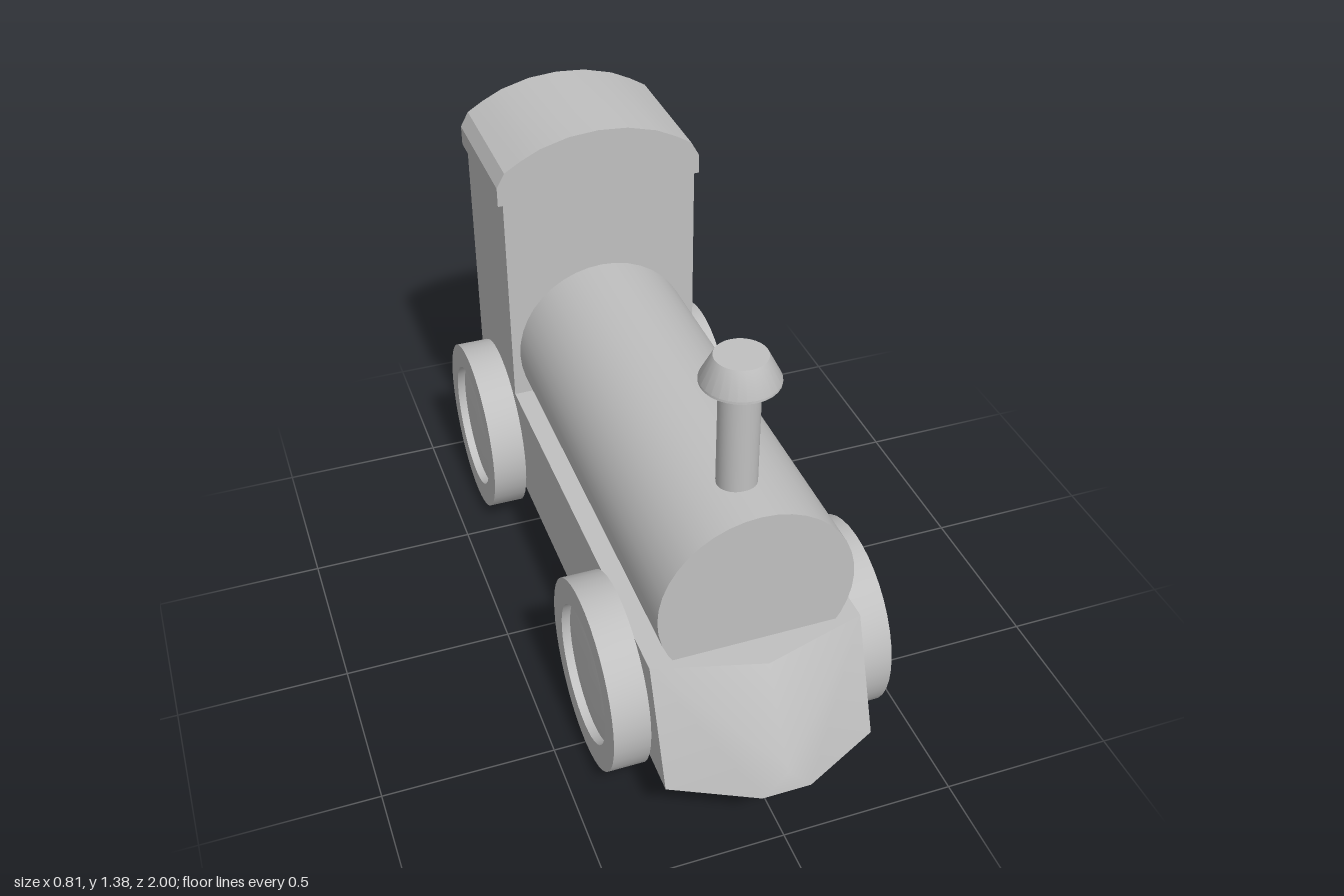
import * as THREE from 'three';
import { toCreasedNormals } from 'three/addons/utils/BufferGeometryUtils.js';

const grey = new THREE.MeshStandardMaterial({ color: 0xc0c0c0 });
grey.name = 'plain grey';

function add(group, name, geometry, x = 0, y = 0, z = 0) {
  const mesh = new THREE.Mesh(geometry, grey);
  mesh.name = name;
  mesh.position.set(x, y, z);
  group.add(mesh);
  return mesh;
}

// Turned part from [radius, height] pairs, bottom to top
function turned(profile, segments) {
  const points = profile.map(([r, h]) => new THREE.Vector2(r, h));
  return toCreasedNormals(new THREE.LatheGeometry(points, segments), 0.5);
}

// Wedge-shaped nose with a pointed plan and a sloping face
function noseGeometry() {
  const corners = {
    A: [-0.3, 0.51, 0.76], B: [0, 0.51, 0.845], C: [0.3, 0.51, 0.76],
    D: [0, 0.26, 1], E: [-0.07, 0.18, 1], F: [0.07, 0.18, 1],
    G: [-0.3, 0.18, 0.885], H: [0.3, 0.18, 0.885],
    I: [-0.3, 0.18, 0.76], J: [0.3, 0.18, 0.76],
  };
  const faces = [
    'AGE', 'AED', 'ADB', 'DEF', 'BDC', 'DFC', 'FHC', // sloping front
    'ABC', 'CHJ', 'AIG',                             // top and sides
    'IJH', 'IHF', 'IFE', 'IEG',                      // underside
  ];
  const positions = faces.flatMap((f) => [...f].flatMap((k) => corners[k]));
  const geometry = new THREE.BufferGeometry();
  geometry.setAttribute('position', new THREE.Float32BufferAttribute(positions, 3));
  return toCreasedNormals(geometry, 0.8);
}

// Arched roof extruded along z
function roofGeometry(depth) {
  const half = [[0.315, 1.19], [0.315, 1.25], [0.29, 1.295], [0.24, 1.325],
    [0.18, 1.354], [0.09, 1.378]];
  const mirrored = half.map(([x, y]) => [-x, y]).reverse();
  const outline = [...half, [0, 1.385], ...mirrored];
  const shape = new THREE.Shape(outline.map(([x, y]) => new THREE.Vector2(x, y)));
  const geometry = new THREE.ExtrudeGeometry(shape, { depth, bevelEnabled: false });
  return toCreasedNormals(geometry, 0.45);
}

export function createModel() {
  const model = new THREE.Group();
  model.name = 'toyTrain';

  // Body
  add(model, 'chassis', new THREE.BoxGeometry(0.6, 0.33, 1.715), 0, 0.345, -0.0975);
  add(model, 'nose', noseGeometry());
  add(model, 'cab', new THREE.BoxGeometry(0.6, 0.7, 0.425), 0, 0.85, -0.7425);
  add(model, 'roof', roofGeometry(0.425), 0, 0, -0.955);

  const boiler = new THREE.CylinderGeometry(0.275, 0.275, 1.3, 40);
  boiler.rotateX(Math.PI / 2);
  add(model, 'boiler', boiler, 0, 0.655, 0.1);

  // Chimney with flared cap
  const chimney = turned([
    [0.055, 0.88], [0.055, 1.21], [0.105, 1.24], [0.105, 1.247],
    [0.07, 1.315], [0, 1.315],
  ], 28);
  add(model, 'chimney', chimney, 0, 0, 0.585);

  // Four wheels with recessed, slightly raised centres
  const wheel = turned([
    [0, 0], [0.275, 0], [0.275, 0.105], [0.2, 0.105], [0.2, 0.08],
    [0.16, 0.086], [0.11, 0.09], [0, 0.09],
  ], 40);
  for (const side of [-1, 1]) {
    for (const [end, z] of [['front', 0.5], ['rear', -0.72]]) {
      const name = end + (side > 0 ? 'Left' : 'Right') + 'Wheel';
      const mesh = add(model, name, wheel, side * 0.301, 0.277, z);
      mesh.rotation.z = -side * Math.PI / 2;
    }
  }

  return model;
}
